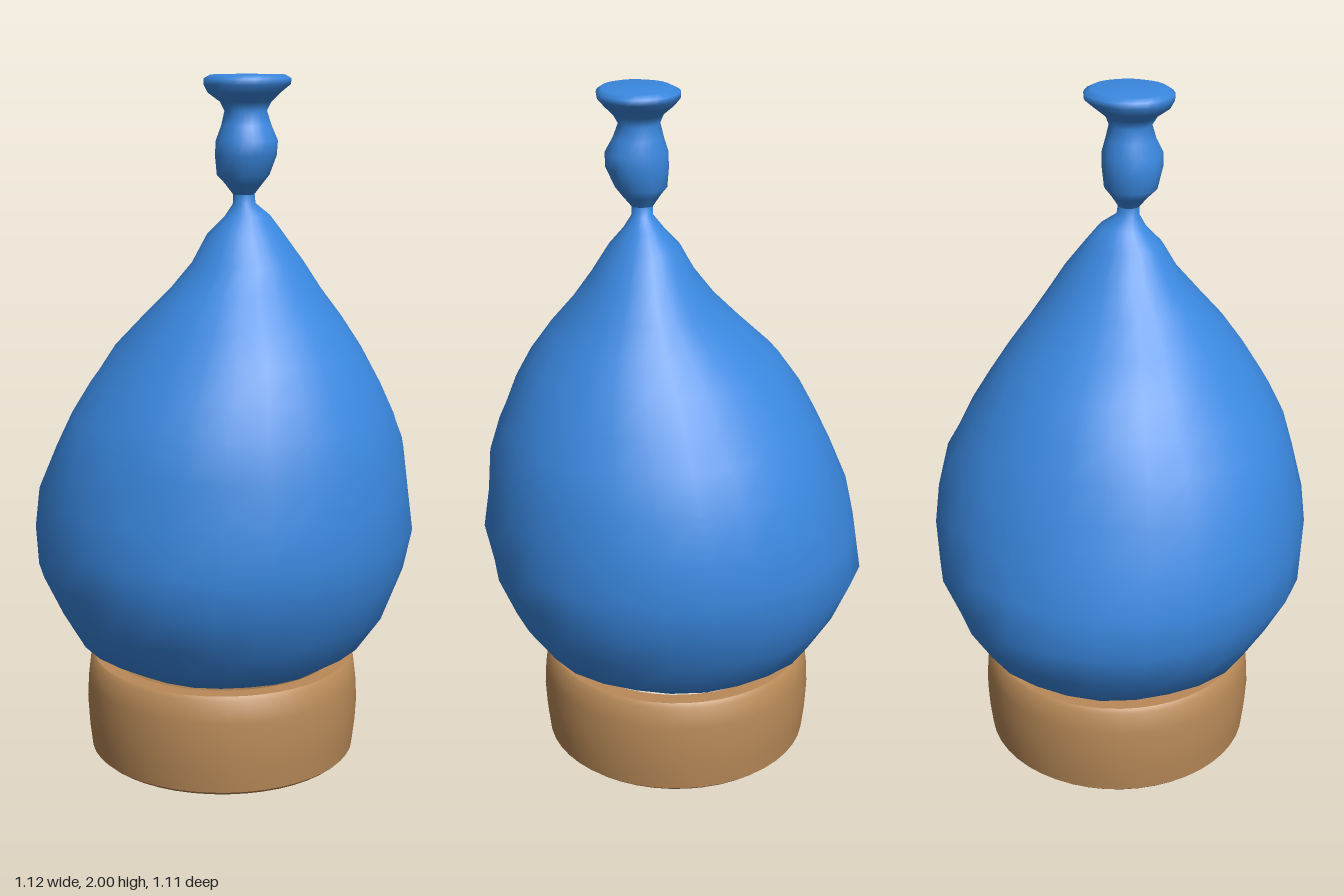
import * as THREE from 'three';
import { toCreasedNormals } from 'three/addons/utils/BufferGeometryUtils.js';

const SIDES = 26;

// Lofts elliptical sections [y, xMin, xMax, zMin, zMax], bottom to top, with small dents
function loft(sections, dent) {
  const pos = [], index = [];
  sections.forEach(([y, x0, x1, z0, z1], i) => {
    const cx = (x0 + x1) / 2, cz = (z0 + z1) / 2;
    for (let j = 0; j < SIDES; j++) {
      const a = (j / SIDES) * Math.PI * 2;
      const k = 1 + dent * (Math.sin(3 * a + y * 9) * 0.5 + Math.sin(7 * a - y * 17) * 0.5);
      pos.push(cx + Math.cos(a) * k * (x1 - x0) / 2, y, cz + Math.sin(a) * k * (z1 - z0) / 2);
      if (i < sections.length - 1) {
        const n = (j + 1) % SIDES, b = i * SIDES, t = b + SIDES;
        index.push(b + j, t + j, b + n, b + n, t + j, t + n);
      }
    }
  });
  const g = new THREE.BufferGeometry();
  g.setAttribute('position', new THREE.Float32BufferAttribute(pos, 3));
  g.setIndex(index);
  g.computeVertexNormals();
  return g;
}

export function createModel() {
  const model = new THREE.Group();
  model.name = 'tiedSackOnRing';
  const blue = new THREE.MeshStandardMaterial({ color: 0x3a88e0 });
  blue.name = 'blue';
  const tan = new THREE.MeshStandardMaterial({ color: 0xb98a58 });
  tan.name = 'tan';
  const add = (name, geometry, material) => {
    const mesh = new THREE.Mesh(geometry, material);
    mesh.name = name;
    model.add(mesh);
    return mesh;
  };

  // Hollow ring base with a slightly bulging outer wall
  const profile = [
    [0.33, 0.01], [0.34, 0], [0.385, 0], [0.396, 0.01], [0.404, 0.08], [0.408, 0.15],
    [0.404, 0.22], [0.396, 0.285], [0.385, 0.297], [0.34, 0.297], [0.33, 0.285], [0.33, 0.01],
  ].map(([r, y]) => new THREE.Vector2(r, y));
  const ring = add('baseRing', toCreasedNormals(new THREE.LatheGeometry(profile, 48), 0.7), tan);
  ring.position.x = -0.01;

  // Bulbous body leaning toward its narrow neck
  add('body', loft([
    [0.25, -0.002, 0.002, -0.002, 0.002],
    [0.262, -0.19, 0.19, -0.19, 0.19],
    [0.3, -0.33, 0.33, -0.33, 0.33],
    [0.35, -0.43, 0.41, -0.42, 0.42],
    [0.46, -0.51, 0.49, -0.48, 0.49],
    [0.58, -0.56, 0.54, -0.535, 0.55],
    [0.7, -0.55, 0.56, -0.55, 0.56],
    [0.82, -0.52, 0.545, -0.54, 0.545],
    [0.95, -0.47, 0.53, -0.51, 0.51],
    [1.05, -0.42, 0.5, -0.46, 0.47],
    [1.14, -0.365, 0.465, -0.41, 0.415],
    [1.23, -0.3, 0.42, -0.355, 0.355],
    [1.32, -0.205, 0.355, -0.29, 0.285],
    [1.4, -0.125, 0.285, -0.235, 0.215],
    [1.48, -0.065, 0.23, -0.185, 0.145],
    [1.56, -0.02, 0.18, -0.125, 0.1],
    [1.61, 0.025, 0.14, -0.085, 0.05],
    [1.645, 0.055, 0.115, -0.035, 0.03],
    [1.68, 0.055, 0.115, -0.03, 0.03],
  ], 0.016), blue);

  // Small tied bulb and flared lip
  add('knotAndLip', loft([
    [1.67, 0.055, 0.115, -0.03, 0.03],
    [1.7, 0.035, 0.14, -0.05, 0.055],
    [1.725, 0.015, 0.16, -0.07, 0.08],
    [1.78, 0.01, 0.185, -0.08, 0.09],
    [1.82, 0.012, 0.187, -0.082, 0.088],
    [1.86, 0.025, 0.165, -0.07, 0.07],
    [1.9, 0.035, 0.15, -0.06, 0.06],
    [1.925, 0.025, 0.165, -0.07, 0.075],
    [1.95, -0.005, 0.19, -0.1, 0.11],
    [1.972, -0.02, 0.208, -0.13, 0.122],
    [1.988, -0.02, 0.21, -0.13, 0.122],
    [1.998, 0.0, 0.195, -0.11, 0.105],
    [2, 0.08, 0.1, -0.01, 0.01],
    [2, 0.09, 0.09, 0, 0],
  ], 0.02), blue);

  return model;
}
